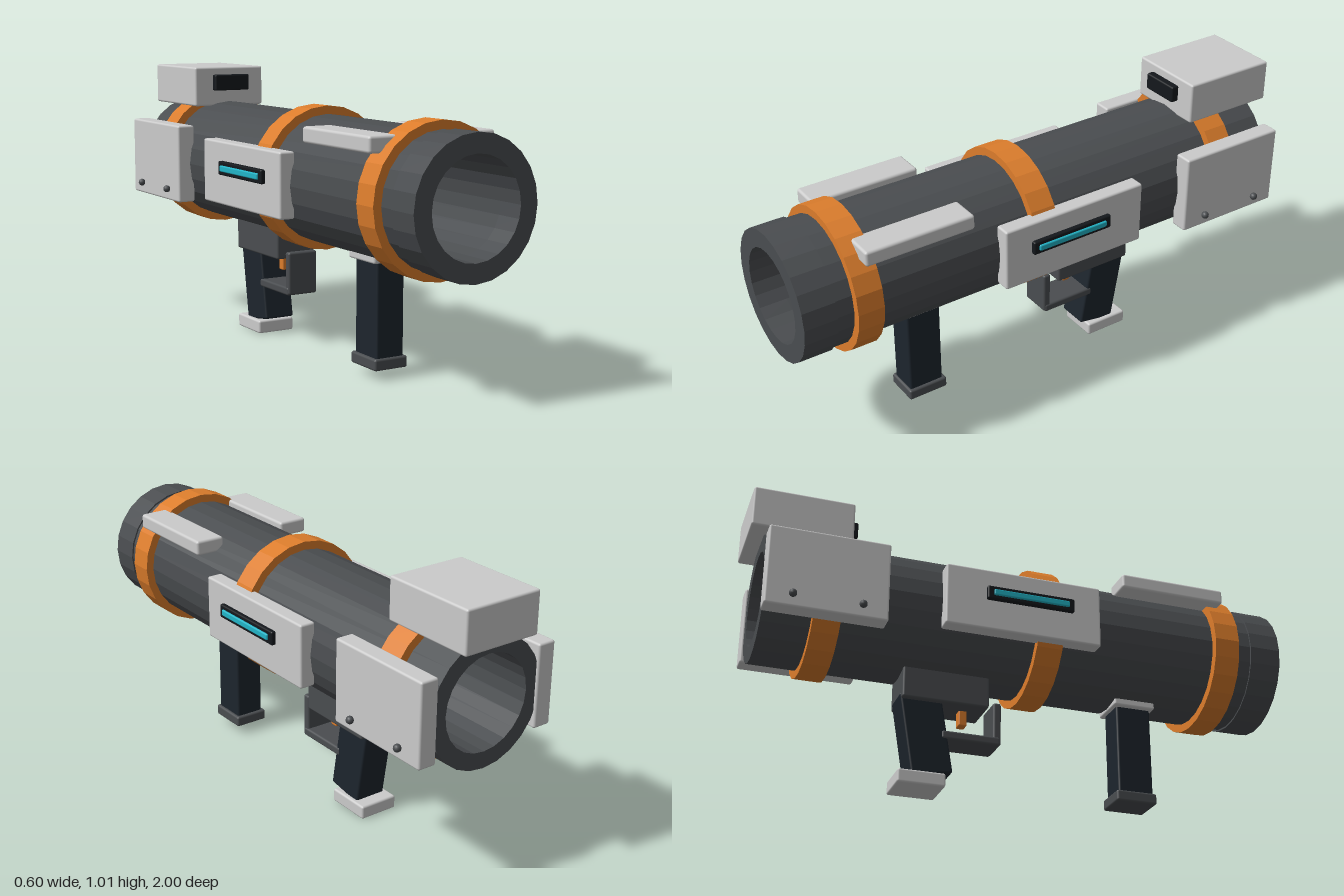
import * as THREE from 'three';
import { RoundedBoxGeometry } from 'three/addons/geometries/RoundedBoxGeometry.js';

const material = (color) => new THREE.MeshStandardMaterial({ color });
const AXIS_Y = 0.645; // height of the barrel axis
const BORE = 0.17;
const SIDES = 24;

export function createModel() {
  const model = new THREE.Group();
  model.name = 'shoulderLauncher';

  const gunmetal = material(0x4a4d50);
  const orange = material(0xdc7d2c);
  const plate = material(0xc9cdcd);
  const rubber = material(0x1d252d);
  const black = material(0x14181c);
  const cyan = material(0x22b5c8);
  const facetedMetal = material(0x4a4d50);
  const facetedOrange = material(0xdc7d2c);
  facetedMetal.flatShading = facetedOrange.flatShading = true;

  const add = (name, geometry, mat) => {
    const mesh = new THREE.Mesh(geometry, mat);
    mesh.name = name;
    model.add(mesh);
    return mesh;
  };

  // Softly bevelled box given by its extents on each axis
  const box = (name, mat, [x0, x1], [y0, y1], [z0, z1], bevel = 0.008) => {
    const size = [x1 - x0, y1 - y0, z1 - z0];
    const radius = Math.min(bevel, Math.min(...size) * 0.4);
    const mesh = add(name, new RoundedBoxGeometry(...size, 2, radius), mat);
    mesh.position.set((x0 + x1) / 2, (y0 + y1) / 2, (z0 + z1) / 2);
    return mesh;
  };

  // Hollow faceted sleeve along z
  const sleeve = (name, mat, inner, outer, z0, z1) => {
    const profile = [[inner, z0], [outer, z0], [outer, z1], [inner, z1], [inner, z0]]
      .map(([r, z]) => new THREE.Vector2(r, z));
    const mesh = add(name, new THREE.LatheGeometry(profile, SIDES), mat);
    mesh.rotation.x = Math.PI / 2;
    mesh.position.y = AXIS_Y;
  };

  // Barrel, muzzle and bands
  sleeve('barrel', facetedMetal, BORE, 0.23, -0.945, 0.9);
  sleeve('muzzle', facetedMetal, BORE, 0.236, 0.88, 1);
  [['frontBand', 0.77], ['middleBand', 0.075], ['rearBand', -0.727]].forEach(([name, z]) =>
    sleeve(name, facetedOrange, 0.22, 0.26, z - 0.048, z + 0.048));

  // Sight housing on top of the rear
  box('sightHousing', plate, [-0.15, 0.15], [0.858, 1.012], [-1, -0.635]);
  box('sightLens', black, [-0.075, 0.075], [0.92, 0.982], [-0.636, -0.605], 0.006);

  // Mirrored plates along both sides
  for (const [side, s] of [['left', 1], ['right', -1]]) {
    const span = (a, b) => (s > 0 ? [a, b] : [-b, -a]);
    box(`${side}TopRail`, plate, span(0.13, 0.244), [0.804, 0.86], [0.36, 0.77], 0.01);
    box(`${side}MiddlePlate`, plate, span(0.21, 0.27), [0.53, 0.764], [-0.325, 0.255]);
    box(`${side}LightFrame`, black, span(0.265, 0.286), [0.643, 0.694], [-0.177, 0.15], 0.006);
    box(`${side}LightStrip`, cyan, span(0.278, 0.293), [0.657, 0.68], [-0.155, 0.13], 0.005);
    box(`${side}RearPlate`, plate, span(0.21, 0.279), [0.495, 0.794], [-0.954, -0.528]);
    for (const z of [-0.62, -0.86]) {
      const bolt = add(`${side}Bolt`, new THREE.SphereGeometry(0.014, 12, 8), gunmetal);
      bolt.position.set(s * 0.288, 0.54, z);
    }
  }

  // Front grip
  box('frontGripCollar', plate, [-0.075, 0.075], [0.405, 0.44], [0.386, 0.546]);
  box('frontGrip', rubber, [-0.055, 0.055], [0.055, 0.42], [0.4, 0.534]);
  box('frontGripCap', gunmetal, [-0.066, 0.066], [0.036, 0.077], [0.388, 0.543]);

  // Trigger housing, guard and trigger
  box('triggerHousing', gunmetal, [-0.08, 0.08], [0.318, 0.508], [-0.42, -0.102]);
  box('guardFront', gunmetal, [-0.06, 0.06], [0.19, 0.35], [-0.08, -0.05]);
  box('guardBottom', gunmetal, [-0.063, 0.063], [0.187, 0.218], [-0.27, -0.055]);
  box('trigger', orange, [-0.02, 0.02], [0.262, 0.335], [-0.196, -0.166], 0.005);

  // Raked rear grip
  const rearGrip = box('rearGrip', rubber, [-0.06, 0.06], [0.05, 0.355], [-0.4, -0.25]);
  rearGrip.rotation.x = -0.165;
  box('rearGripCap', plate, [-0.075, 0.075], [0.003, 0.053], [-0.427, -0.255]);

  return model;
}
